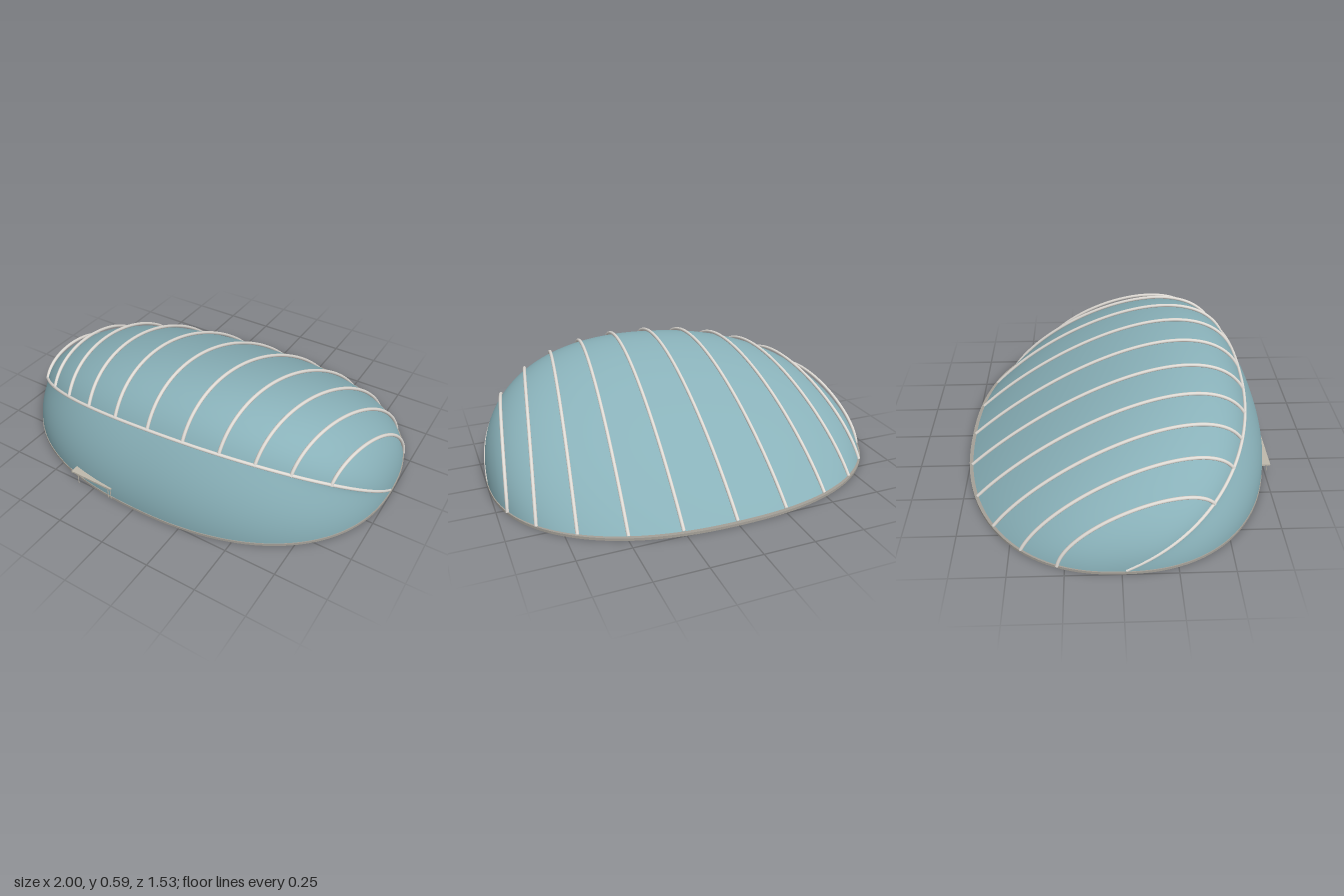
import * as THREE from 'three';
import { ParametricGeometry } from 'three/addons/geometries/ParametricGeometry.js';

const V = (x, y, z) => new THREE.Vector3(x, y, z);
const lerp = THREE.MathUtils.lerp;
const HALF_WIDTH = 0.996, HALF_DEPTH = 0.762, POWER = 2.3;

const material = (name, color, side = THREE.FrontSide) => {
  const m = new THREE.MeshStandardMaterial({ color, side });
  m.name = name;
  return m;
};

// Rounded-oval outline: 1 at x = 0, falling to 0 at x = +-1
const oval = (x) => Math.pow(Math.max(0, 1 - Math.pow(Math.abs(x), POWER)), 1 / POWER);

// Key points of the shell at station t (-1 = right tip, 1 = left tip)
function station(t) {
  const a = Math.abs(t);
  const baseX = Math.sin(t * Math.PI / 2) - 0.15 * t * a ** 3 * (1 - a);
  const ridgeX = t + Math.sin(Math.PI * t) * 0.045 * (1 - 1.8 * a * a) + 0.015 * (1 - a * a);
  const baseZ = HALF_DEPTH * oval(baseX);
  return {
    a,
    back: V(HALF_WIDTH * baseX, 0, -baseZ),
    front: V(HALF_WIDTH * baseX, 0, baseZ),
    ridge: V(HALF_WIDTH * ridgeX, 0.402 * oval(ridgeX) * (1 + 0.13 * ridgeX), 0.637 * oval(ridgeX)),
  };
}

// Roof: from the back of the base, over the crest, to the ridge arch
function roofPoint(s, t) {
  const { a, back, ridge } = station(t);
  const span = ridge.z - back.z;
  const c1 = V(lerp(back.x, ridge.x, 0.2), 0.9 * ridge.y, back.z + span * Math.max(0, 0.29 * (1 - 1.2 * a * a)));
  const c2 = V(lerp(back.x, ridge.x, 0.85), (1.98 - 0.42 * a * a) * ridge.y, ridge.z - span * 0.15);
  return new THREE.CubicBezierCurve3(back, c1, c2, ridge).getPoint(s);
}

// Front wall: from the ridge arch, bulging down to the base
function wallPoint(s, t) {
  const { front, ridge } = station(t);
  const c = V(front.x, 0.5 * ridge.y, front.z * 1.018);
  return new THREE.QuadraticBezierCurve3(ridge, c, front).getPoint(s);
}

const patch = (fn) => new ParametricGeometry((u, v, target) => {
  target.copy(fn(u, 0.9999 * Math.sin((v - 0.5) * Math.PI)));
}, 32, 96);

function roofNormal(s, t) {
  const e = 0.004;
  const ds = roofPoint(Math.min(1, s + e), t).sub(roofPoint(Math.max(0, s - e), t));
  const dt = roofPoint(s, t + e).sub(roofPoint(s, t - e));
  return ds.cross(dt).normalize();
}

// Smooth round tube through points
const tube = (points, radius, segments) =>
  new THREE.TubeGeometry(new THREE.CatmullRomCurve3(points), segments, radius, 12);

export function createModel() {
  const model = new THREE.Group();
  const glass = material('blue cladding', 0x89b1b9, THREE.DoubleSide);
  const steel = material('pale steel', 0xdedad4, THREE.DoubleSide);
  const stone = material('grey base', 0xa39f97);
  const beige = material('canopy beige', 0xbdb8ab);
  const add = (name, geometry, mat, parent = model) => {
    const mesh = new THREE.Mesh(geometry, mat);
    mesh.name = name;
    parent.add(mesh);
    return mesh;
  };

  // Shell
  add('roofShell', patch(roofPoint), glass);
  add('frontWall', patch(wallPoint), glass);

  // Base slab
  const outline = [];
  for (let i = 0; i < 128; i++) {
    const a = i / 128 * Math.PI * 2, c = Math.cos(a), s = Math.sin(a);
    outline.push(new THREE.Vector2(
      Math.sign(c) * Math.pow(Math.abs(c), 2 / POWER),
      0.766 * Math.sign(s) * Math.pow(Math.abs(s), 2 / POWER)));
  }
  const slab = new THREE.ExtrudeGeometry(new THREE.Shape(outline), { depth: 0.013, bevelEnabled: false });
  add('baseSlab', slab.rotateX(-Math.PI / 2), stone);

  // Eleven ribs, lifted slightly off the roof along their middle
  const ribs = new THREE.Group();
  ribs.name = 'ribs';
  model.add(ribs);
  for (let i = -5; i <= 5; i++) {
    const points = [];
    for (let k = 0; k <= 40; k++) {
      const s = lerp(0.012, 1, k / 40);
      const lift = 0.002 + 0.014 * Math.sin(Math.PI * s);
      points.push(roofPoint(s, i / 6).addScaledVector(roofNormal(s, i / 6), lift));
    }
    add('rib', tube(points, 0.0085, 80), steel, ribs);
  }

  // Ridge arch between roof and front wall
  const archPoints = [];
  for (let k = 0; k <= 80; k++) {
    const p = station(0.9999 * Math.sin((k / 80 - 0.5) * Math.PI)).ridge;
    archPoints.push(V(p.x * 0.996, p.y + 0.006, p.z + 0.002));
  }
  add('ridgeArch', tube(archPoints, 0.008, 160), steel);

  // Entrance canopy on thin posts
  const canopy = new THREE.Group();
  canopy.name = 'entranceCanopy';
  model.add(canopy);
  add('canopyRoof', new THREE.BoxGeometry(0.24, 0.009, 0.07), beige, canopy).position.set(-0.25, 0.063, 0.733);
  for (const x of [-0.335, -0.15, -0.135]) {
    add('canopyPost', new THREE.CylinderGeometry(0.002, 0.002, 0.06, 8), beige, canopy).position.set(x, 0.03, 0.763);
  }
  return model;
}
